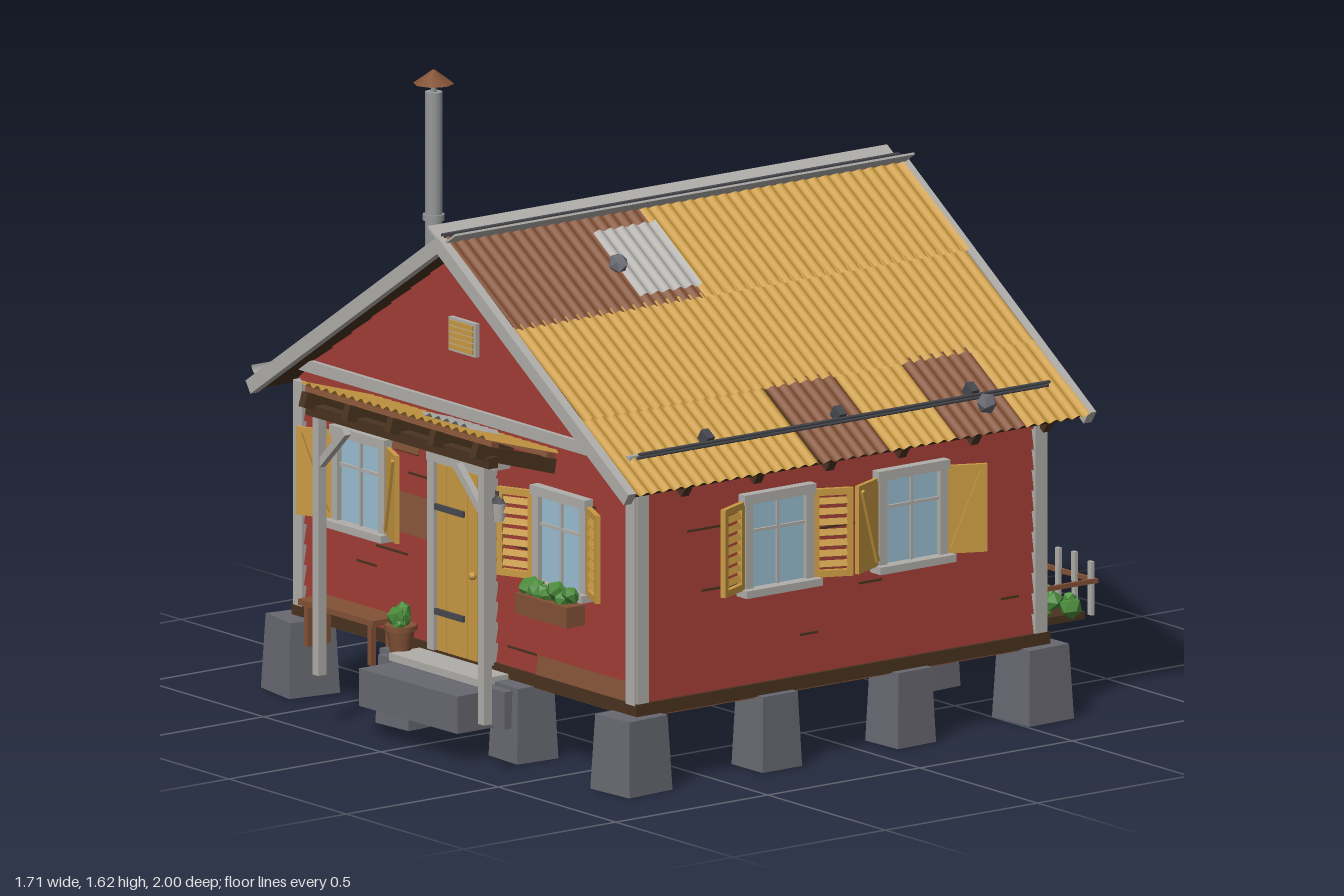
import * as THREE from 'three';

const paint = (name, color, side = THREE.FrontSide) => {
  const m = new THREE.MeshStandardMaterial({ color, side });
  m.name = name;
  return m;
};
let seed = 7;
const rnd = () => (seed = (seed * 16807) % 2147483647) / 2147483647;
const jit = (a) => (rnd() - 0.5) * 2 * a;

export function createModel() {
  const red = paint('barnRed', 0x983832), yellow = paint('ochre', 0xc99a43, THREE.DoubleSide);
  const dark = paint('darkWood', 0x4a3320), rust = paint('rustBrown', 0x835236, THREE.DoubleSide);
  const trim = paint('weatheredGrey', 0xb0aeaa, THREE.DoubleSide), stone = paint('stone', 0x686871);
  const iron = paint('iron', 0x47484e), glass = paint('glass', 0x9abfd2);
  const green = paint('leaf', 0x4a8a3a), steel = paint('steel', 0x969899);

  const root = new THREE.Group();
  root.name = 'cabin';
  const group = (parent, name, x = 0, y = 0, z = 0, ry = 0, rz = 0) => {
    const g = new THREE.Group();
    g.name = name;
    g.position.set(x, y, z);
    g.rotation.set(0, ry, rz);
    parent.add(g);
    return g;
  };
  const add = (parent, name, geo, mat, x = 0, y = 0, z = 0, rx = 0, ry = 0, rz = 0) => {
    const m = new THREE.Mesh(geo, mat);
    m.name = name;
    m.position.set(x, y, z);
    m.rotation.set(rx, ry, rz);
    parent.add(m);
    return m;
  };
  const box = (p, name, mat, w, h, d, ...t) => add(p, name, new THREE.BoxGeometry(w, h, d), mat, ...t);
  const cyl = (p, name, mat, r0, r1, h, n, ...t) => add(p, name, new THREE.CylinderGeometry(r0, r1, h, n), mat, ...t);
  // faceted lump for leaves and rocks
  const lump = (p, name, mat, r, x, y, z) => {
    const g = new THREE.IcosahedronGeometry(r, 0);
    g.scale(1 + jit(0.2), 0.8 + jit(0.15), 1 + jit(0.2));
    return add(p, name, g, mat, x, y, z, rnd() * 3, rnd() * 3, 0);
  };

  // foundation stones around the perimeter
  const cols = [-0.68, -0.21, 0.27, 0.73], rows = [0.74, 0.295, -0.145, -0.58];
  cols.forEach((x, i) => rows.forEach((z, j) => {
    if (i % 3 && j % 3) return;
    const s = i % 3 || j % 3 ? 0.125 : 0.145;
    const g = new THREE.CylinderGeometry(s * 0.65, s * 0.74, 0.2, 4).toNonIndexed();
    g.rotateY(Math.PI / 4);
    g.computeVertexNormals();
    add(root, 'foundationStone', g, stone, x, 0.1, z, 0, jit(0.15), 0);
  }));

  // floor and sill
  for (let i = 0; i < 14; i++) box(root, 'floorPlank', rust, 1.45, 0.03, 0.091, 0.03, 0.207, -0.55 + i * 0.0955);
  box(root, 'sill', dark, 1.47, 0.035, 1.36, 0.03, 0.215, 0.07);

  // wall core with gables
  const outline = new THREE.Shape([[-0.712, 0.22], [0.712, 0.22], [0.712, 0.84], [0, 1.315], [-0.712, 0.84]].map((p) => new THREE.Vector2(...p)));
  add(root, 'wallCore', new THREE.ExtrudeGeometry(outline, { depth: 1.315, bevelEnabled: false }), red, 0.03, 0, -0.585);

  // tilted siding board; the ends may slope with the gable
  const board = (p, mat, x0, x1, t0, t1, y, h, z = 0) => {
    const g = new THREE.BoxGeometry(1, h, 0.012), a = g.attributes.position;
    for (let i = 0; i < a.count; i++) {
      const top = a.getY(i) > 0, left = a.getX(i) < 0;
      a.setX(i, top ? (left ? t0 : t1) : (left ? x0 : x1));
      a.setZ(i, a.getZ(i) + (top ? -0.002 : 0.008) + z);
    }
    g.computeVertexNormals();
    add(p, 'sidingBoard', g, mat, 0, y + h / 2, 0);
  };
  const wall = (name, x, z, ry, half, gable, patches) => {
    const g = group(root, name, x, 0, z, ry), step = 0.055;
    const w = (y) => Math.min(half, (1.322 - y) / 0.66);
    for (let y = 0.23; y < (gable ? 1.27 : 0.8); y += step) {
      const a = w(y), b = Math.max(w(y + step), 0.001);
      board(g, red, -a, a, -b, b, y, step);
    }
    patches.forEach(([r, a, b]) => board(g, rust, a, b, a, b, 0.23 + r * step, step, 0.003));
    for (let i = 0; i < 9; i++) // cracks between boards
      box(g, 'crack', dark, 0.05 + rnd() * 0.1, 0.006, 0.004, jit(half * 0.85), 0.23 + step * Math.floor(1 + rnd() * 9), 0.014);
    for (const s of [-1, 1]) box(g, 'cornerBoard', trim, 0.038, 0.6, 0.026, s * (half - 0.006), 0.528, 0.008);
    if (gable) {
      box(g, 'gableBeam', trim, 1.43, 0.032, 0.03, 0, 0.878, 0.012);
      const v = group(g, 'gableVent', 0, 1.08, 0.02);
      box(v, 'ventFrame', trim, 0.115, 0.09, 0.014);
      for (let i = 0; i < 5; i++) box(v, 'ventSlat', yellow, 0.098, 0.0125, 0.012, 0, -0.032 + i * 0.016, 0.005);
    }
    return g;
  };
  const front = wall('frontWall', 0.03, 0.73, 0, 0.715, true,
    [[0, 0.3, 0.69], [5, -0.34, -0.13], [6, -0.34, -0.13], [9, -0.58, -0.2]]);
  wall('backWall', 0.03, -0.585, Math.PI, 0.715, true, [[7, -0.215, 0.69], [6, 0.03, 0.69], [8, 0.35, 0.69]]);
  const right = wall('rightWall', 0.742, 0.0725, Math.PI / 2, 0.66, false, []);
  const left = wall('leftWall', -0.682, 0.0725, -Math.PI / 2, 0.66, false, []);

  // windows with hinged shutters
  const windowAt = (p, x, louvred, plants) => {
    const g = group(p, 'window', x, 0.61, 0.016);
    box(g, 'glass', glass, 0.19, 0.24, 0.008, 0, 0, 0.004);
    for (const s of [-1, 1]) {
      box(g, 'frameSide', trim, 0.025, 0.26, 0.024, s * 0.1, 0, 0.01);
      const h = group(g, 'shutter', s * 0.115, 0, 0.012, -s * 0.42);
      const open = louvred[s < 0 ? 0 : 1], c = s * 0.054;
      if (open) {
        for (const e of [-1, 1]) {
          box(h, 'shutterStile', yellow, 0.016, 0.235, 0.014, c + e * 0.046, 0, 0);
          box(h, 'shutterRail', yellow, 0.1, 0.018, 0.014, c, e * 0.109, 0);
        }
        for (let i = 0; i < 7; i++) box(h, 'louvre', yellow, 0.085, 0.018, 0.006, c, -0.084 + i * 0.028, 0, -0.4);
      } else {
        box(h, 'shutterPanel', yellow, 0.108, 0.235, 0.012, c, 0, 0);
        box(h, 'shutterBrace', yellow, 0.012, 0.22, 0.012, c, 0, 0.008, 0, 0, -s * 0.38);
      }
    }
    box(g, 'frameTop', trim, 0.235, 0.026, 0.028, 0, 0.123, 0.012);
    box(g, 'windowSill', trim, 0.25, 0.02, 0.045, 0, -0.126, 0.02);
    box(g, 'mullion', trim, 0.008, 0.24, 0.014, 0, 0, 0.008);
    box(g, 'crossBar', trim, 0.19, 0.008, 0.014, 0, 0.035, 0.008);
    if (plants) {
      box(g, 'flowerBox', rust, 0.22, 0.055, 0.06, 0, -0.172, 0.05);
      for (let i = 0; i < 7; i++) lump(g, 'boxPlant', green, 0.028, -0.09 + i * 0.03, -0.128 + jit(0.012), 0.05);
    }
  };
  windowAt(front, -0.43, [0, 0], false);
  windowAt(front, 0.425, [1, 1], true);
  windowAt(right, -0.2175, [1, 1], false);
  windowAt(right, 0.2225, [0, 0], false);
  windowAt(left, 0.01, [1, 0], false);

  // climbing ivy on the left wall
  for (let i = 0; i < 34; i++)
    lump(left, 'ivy', green, 0.034, 0.37 + i * 0.004 + jit(0.045), 0.19 + i * 0.013, 0.012);

  // plank door
  for (let i = 0; i < 5; i++) box(root, 'doorPlank', yellow, 0.041, 0.5, 0.02, -0.049 + i * 0.043, 0.475, 0.752);
  for (const x of [-0.085, 0.145]) box(root, 'doorJamb', trim, 0.026, 0.53, 0.035, x, 0.49, 0.755);
  box(root, 'doorHead', trim, 0.26, 0.035, 0.035, 0.03, 0.748, 0.757);
  box(root, 'doorCornice', trim, 0.36, 0.045, 0.05, 0.03, 0.782, 0.762);
  for (const y of [0.33, 0.61]) box(root, 'hinge', iron, 0.12, 0.016, 0.008, -0.01, y, 0.767);
  add(root, 'doorKnob', new THREE.SphereGeometry(0.011, 8, 6), yellow, 0.095, 0.455, 0.772);

  // steps
  box(root, 'lowerStep', stone, 0.41, 0.1, 0.14, 0.03, 0.132, 0.865, 0, 0.02);
  box(root, 'upperStep', stone, 0.54, 0.1, 0.1, 0.03, 0.14, 0.775);
  box(root, 'doorstep', trim, 0.38, 0.02, 0.12, 0.03, 0.203, 0.79);

  // corrugated sheet in the xz plane, ribs running along x
  const sheet = (len, wide) => {
    const g = new THREE.PlaneGeometry(len, wide, 1, Math.ceil(wide / 0.0062));
    g.rotateX(-Math.PI / 2);
    const a = g.attributes.position;
    for (let i = 0; i < a.count; i++) a.setY(i, 0.005 * Math.sin(a.getZ(i) * 2 * Math.PI / 0.037));
    g.computeVertexNormals();
    return g;
  };

  // main roof: two slopes hung from the ridge
  const pitch = 0.582, zA = -0.675, zB = 0.815;
  const layout = {
    1: [[[zA, 0.19, yellow], [0.19, zB, rust]], [[zA, zB, yellow]],
      [[zA, -0.47, yellow], [-0.47, -0.24, rust], [-0.24, -0.02, yellow], [-0.02, 0.21, rust], [0.21, zB, yellow]]],
    '-1': [[[zA, zB, yellow]], [[zA, zB, yellow]], [[zA, -0.58, yellow], [-0.58, -0.35, rust], [-0.35, zB, yellow]]],
  };
  for (const s of [1, -1]) {
    const r = group(root, s > 0 ? 'rightSlope' : 'leftSlope', 0.03, 1.356, 0, 0, -s * pitch);
    box(r, 'roofDeck', dark, 0.95, 0.018, 1.47, s * 0.485, -0.02, 0.07);
    [[0, 0.36], [0.34, 0.7], [0.68, 0.98]].forEach(([a, b], k) => layout[s][k].forEach(([z0, z1, mat]) =>
      add(r, 'roofSheet', sheet(b - a, z1 - z0), mat, s * (a + b) / 2, 0.004 - k * 0.003, (z0 + z1) / 2, 0, 0, s * 0.012)));
    const patch = s > 0 ? [0.205, 0.285] : [0.655, 0.15];
    add(r, 'patchSheet', sheet(0.24, 0.2), trim, s * patch[0], 0.016, patch[1]);
    for (const z of [0.826, -0.686]) box(r, 'bargeBoard', trim, 0.975, 0.038, 0.026, s * 0.4875, -0.016, z);
    for (let i = 0; i < 6; i++) box(r, 'rafterTail', dark, 0.16, 0.05, 0.025, s * 0.865, -0.053, 0.6 - i * 0.238);
    // snow rail, half sunk between the ribs
    for (const h of [0.004, 0.017]) cyl(r, 'snowRail', iron, 0.0045, 0.0045, 1.35, 6, s * 0.858, h, 0.06, Math.PI / 2);
    for (const z of [-0.37, 0.065, 0.5]) box(r, 'railBracket', iron, 0.034, 0.034, 0.024, s * 0.838, 0.012, z);
    // ridge flashing, tipped upward
    box(root, 'ridgeFlashing', trim, 0.07, 0.006, 1.51, 0.03 + s * 0.03, 1.354, 0.07, 0, 0, s * 0.59);
  }
  box(root, 'ridgePole', iron, 0.014, 0.02, 1.5, 0.03, 1.355, 0.07);
  [[-0.64, 0.945, -0.115], [0.805, 0.885, -0.37], [0.22, 1.26, 0.39]].forEach((p) => lump(root, 'roofRock', stone, 0.033, ...p));

  // gutter along the left eave
  const trough = new THREE.CylinderGeometry(0.024, 0.024, 1.46, 8, 1, true, -Math.PI / 2, Math.PI);
  add(root, 'gutter', trough, trim, -0.8, 0.85, 0.06, Math.PI / 2);
  for (const z of [-0.5, 0, 0.5]) box(root, 'gutterHook', steel, 0.06, 0.006, 0.012, -0.79, 0.845, z, 0, 0, -0.4);

  // chimney pipe
  cyl(root, 'chimneyPipe', steel, 0.023, 0.023, 0.68, 12, -0.605, 1.22, 0.36);
  cyl(root, 'chimneyCollar', steel, 0.029, 0.029, 0.016, 12, -0.605, 1.225, 0.36);
  cyl(root, 'chimneyStem', steel, 0.008, 0.008, 0.04, 6, -0.605, 1.575, 0.36);
  cyl(root, 'chimneyCap', rust, 0.004, 0.054, 0.036, 8, -0.605, 1.6, 0.36);

  // porch canopy
  const c = group(root, 'canopy', 0.03, 0.853, 0.86);
  c.rotation.x = -0.29;
  add(c, 'canopySheet', sheet(0.27, 0.79), yellow, 0, 0.026, 0, 0, Math.PI / 2);
  add(c, 'canopyPatch', sheet(0.11, 0.2), trim, 0.14, 0.036, 0.02, 0, Math.PI / 2);
  for (const z of [-0.09, 0.1]) box(c, 'purlin', rust, 0.79, 0.014, 0.025, 0, 0.012, z);
  for (let i = 0; i < 5; i++) box(c, 'canopyRafter', dark, 0.024, 0.04, 0.28, -0.365 + i * 0.1825, -0.014, 0);
  box(root, 'canopyBeam', dark, 0.78, 0.03, 0.03, 0.03, 0.845, 0.955);
  for (const s of [-1, 1]) {
    const x = 0.032 + s * 0.353;
    box(root, 'porchPost', trim, 0.026, 0.69, 0.026, x, 0.485, 0.955);
    box(root, 'porchBrace', trim, 0.02, 0.16, 0.02, x - s * 0.058, 0.755, 0.955, 0, 0, s * 0.8);
  }

  // lantern
  box(root, 'lanternArm', iron, 0.012, 0.012, 0.07, 0.245, 0.71, 0.775);
  cyl(root, 'lanternBody', trim, 0.02, 0.017, 0.05, 6, 0.245, 0.66, 0.8);
  cyl(root, 'lanternTop', iron, 0.006, 0.027, 0.02, 6, 0.245, 0.695, 0.8);

  // bench and potted plant
  box(root, 'benchSeat', rust, 0.32, 0.016, 0.09, -0.395, 0.275, 0.8);
  for (const x of [-0.53, -0.26]) for (const z of [0.77, 0.83]) box(root, 'benchLeg', rust, 0.016, 0.11, 0.016, x, 0.214, z);
  cyl(root, 'pot', rust, 0.038, 0.028, 0.07, 10, -0.175, 0.24, 0.8);
  cyl(root, 'potRim', rust, 0.043, 0.043, 0.014, 10, -0.175, 0.272, 0.8);
  for (let i = 0; i < 5; i++) lump(root, 'potPlant', green, 0.026, -0.175 + jit(0.02), 0.285 + i * 0.006, 0.8 + jit(0.02));

  // rain barrel
  const stave = [[0, 0], [0.058, 0], [0.071, 0.06], [0.075, 0.12], [0.071, 0.18], [0.058, 0.24], [0, 0.24]];
  add(root, 'barrel', new THREE.LatheGeometry(stave.map((p) => new THREE.Vector2(...p)), 14), rust, -0.785, 0.158, -0.645);
  for (const [y, r] of [[0.2, 0.068], [0.25, 0.075], [0.31, 0.075], [0.36, 0.068]])
    cyl(root, 'barrelHoop', iron, r, r, 0.01, 14, -0.785, y, -0.645);

  // vegetable bed and picket fence
  box(root, 'gardenBed', dark, 0.81, 0.02, 0.38, 0.035, 0.162, -0.785);
  for (const z of [-0.925, -0.81]) for (let i = 0; i < 10; i++) {
    const x = -0.33 + i * 0.086;
    lump(root, 'cabbage', green, 0.036, x, 0.192, z);
    lump(root, 'cabbageTop', green, 0.024, x + jit(0.012), 0.212, z + jit(0.01));
  }
  box(root, 'backRail', rust, 0.87, 0.012, 0.01, 0.03, 0.255, -0.995);
  box(root, 'sideRail', rust, 0.01, 0.012, 0.35, 0.457, 0.255, -0.82);
  for (let i = 0; i < 13; i++) box(root, 'picket', trim, 0.016, 0.155 + jit(0.015), 0.01, -0.39 + i * 0.07, 0.235, -0.987, 0, 0, jit(0.06));
  for (const x of [-0.4, 0.457]) box(root, 'endPicket', trim, 0.014, 0.15, 0.016, x, 0.23, -0.65);

  return root;
}
